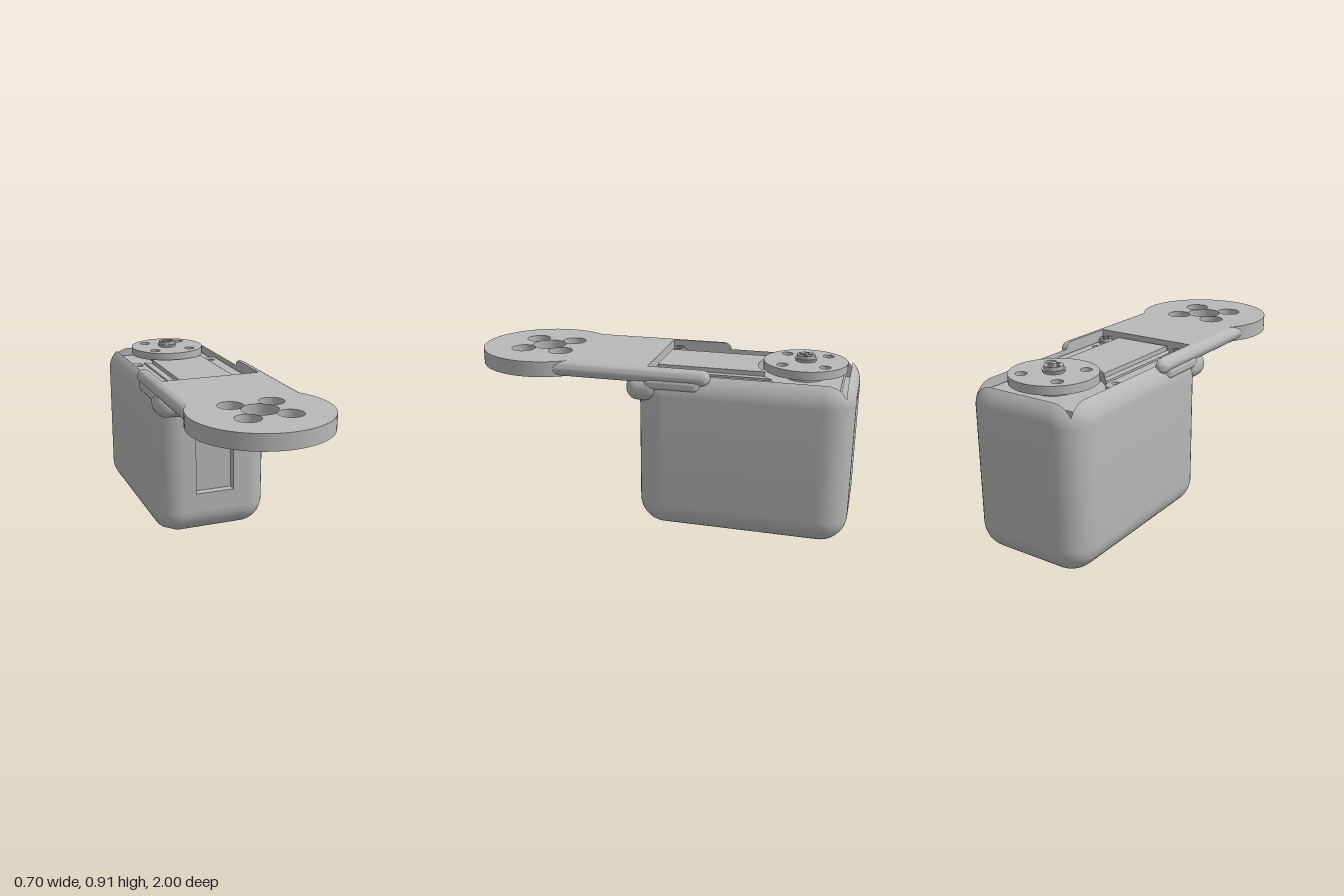
import * as THREE from 'three';
import { toCreasedNormals } from 'three/addons/utils/BufferGeometryUtils.js';
import { RoundedBoxGeometry } from 'three/addons/geometries/RoundedBoxGeometry.js';

const grey = new THREE.MeshStandardMaterial({ color: 0xb8b8b8 });
grey.name = 'grey';

// Case dimensions: rounding radius, top height, flat core and pocket rectangle
const R = 0.14, TOP = 0.87, CX = 0.18, ZF = -0.06, ZB = -0.86;
const POCKET = { x: 0.27, zf: 0.02, zb: -0.955, floor: 0.72 };
const HOLE_R = 0.04;
const HOLES = [[0.222, -0.02], [-0.222, -0.02], [0.222, -0.55], [-0.222, -0.55]];
const clamp = THREE.MathUtils.clamp;

function add(parent, name, geometry, x = 0, y = 0, z = 0) {
  const mesh = new THREE.Mesh(geometry, grey);
  mesh.name = name;
  mesh.position.set(x, y, z);
  parent.add(mesh);
  return mesh;
}

// Height of the rounding above its spring line at plan position x, z
function rise(x, z) {
  const dx = x - clamp(x, -CX, CX), dz = z - clamp(z, ZB, ZF);
  return Math.sqrt(Math.max(0, R * R - dx * dx - dz * dz));
}

// Extrude a plan shape (shape y = -z) upward from y0 to y1
function slab(shape, y0, y1) {
  const g = new THREE.ExtrudeGeometry(shape, { depth: y1 - y0, bevelEnabled: false, curveSegments: 32 });
  g.rotateX(-Math.PI / 2).translate(0, y0, 0);
  return toCreasedNormals(g, 0.5);
}

function circle(x, z, r) {
  return new THREE.Path().absarc(x, -z, r, 0, Math.PI * 2, false);
}

function disc(r) {
  return new THREE.Shape().absarc(0, 0, r, 0, Math.PI * 2, false);
}

// Plan outline of the case: core points with outward normals
function outline() {
  const pts = [];
  const core = [[CX, ZF], [CX, ZB], [-CX, ZB], [-CX, ZF]];
  core.forEach(([x, z], k) => {
    for (let i = 0; i <= 10; i++) {
      const a = (k + i / 10) * Math.PI / 2;
      pts.push({ x, z, nx: Math.sin(a), nz: Math.cos(a) });
    }
    const [x2, z2] = core[(k + 1) % 4], n = k % 2 ? 18 : 40;
    const { nx, nz } = pts[pts.length - 1];
    for (let i = 1; i < n; i++) pts.push({ x: x + (x2 - x) * i / n, z: z + (z2 - z) * i / n, nx, nz });
  });
  return pts;
}

// Rounded case with open pocket on top and holes through the lower rounding
function caseGeometry() {
  const plan = outline(), rings = [], pos = [], steps = 12;
  for (let i = 0; i <= steps; i++) {
    const off = R * Math.sin(i / steps * Math.PI / 2);
    rings.push(plan.map(p => {
      let x = p.x + p.nx * off, z = p.z + p.nz * off;
      for (const [hx, hz] of HOLES) {
        const d = Math.hypot(x - hx, z - hz);
        if (Math.abs(d - HOLE_R) < 0.009) {
          x = hx + (x - hx) * HOLE_R / d;
          z = hz + (z - hz) * HOLE_R / d;
        }
      }
      return [x, R - rise(x, z), z];
    }));
  }
  for (let i = 0; i <= 8; i++) {
    const t = (i / 8) ** 2;
    rings.push(plan.map(p => {
      const x = p.x + p.nx * R, z = p.z + p.nz * R;
      const x2 = x + (clamp(x, -POCKET.x, POCKET.x) - x) * t;
      const z2 = z + (clamp(z, POCKET.zb, POCKET.zf) - z) * t;
      return [x2, TOP - R + rise(x2, z2), z2];
    }));
  }
  rings.push(rings[rings.length - 1].map(([x, , z]) => [x, POCKET.floor, z]));

  const tri = (a, b, c) => {
    const mx = (a[0] + b[0] + c[0]) / 3, my = (a[1] + b[1] + c[1]) / 3, mz = (a[2] + b[2] + c[2]) / 3;
    if (my < R && HOLES.some(([x, z]) => Math.hypot(mx - x, mz - z) < HOLE_R)) return;
    pos.push(...a, ...b, ...c);
  };
  for (let i = 0; i < rings.length - 1; i++) {
    for (let j = 0; j < plan.length; j++) {
      const k = (j + 1) % plan.length;
      // the flat front is left open for the recessed panel
      if (i === steps && plan[j].nz > 0.999 && plan[k].nz > 0.999) continue;
      const a = rings[i][j], b = rings[i][k], c = rings[i + 1][k], d = rings[i + 1][j];
      tri(a, b, d);
      tri(c, d, b);
    }
  }
  const g = new THREE.BufferGeometry();
  g.setAttribute('position', new THREE.Float32BufferAttribute(pos, 3));
  return toCreasedNormals(g, 0.5);
}

// Inner wall of a bottom hole, trimmed to the rounded surface
function holeWall(hx, hz) {
  const g = new THREE.LatheGeometry([[0, 0.2], [HOLE_R, 0.2], [HOLE_R, 0]].map(p => new THREE.Vector2(...p)), 32);
  g.translate(hx, 0, hz);
  const p = g.attributes.position;
  for (let i = 0; i < p.count; i++) if (p.getY(i) < 0.1) p.setY(i, R - rise(p.getX(i), p.getZ(i)));
  return toCreasedNormals(g, 0.5);
}

// Capsule along z, flattened on its inner side
function halfBead(r, z0, z1, side, flat) {
  const g = new THREE.CapsuleGeometry(r, z1 - z0, 8, 24).rotateX(Math.PI / 2);
  const p = g.attributes.position;
  for (let i = 0; i < p.count; i++) if (p.getX(i) * side < -flat) p.setX(i, -flat * side);
  return toCreasedNormals(g, 0.7);
}

// Screw head with a cross-shaped socket
function screw(parent, name, r, h, x, y, z) {
  const s = new THREE.Group();
  s.name = name;
  s.position.set(x, y, z);
  add(s, 'screwBase', new THREE.CylinderGeometry(r, r * 0.9, h * 0.5, 24), 0, h * 0.25, 0);
  const a = r * 0.62, b = r * 0.17, head = disc(r * 0.82);
  head.holes.push(new THREE.Path([[a, b], [b, b], [b, a], [-b, a], [-b, b], [-a, b], [-a, -b], [-b, -b],
    [-b, -a], [b, -a], [b, -b], [a, -b]].map(p => new THREE.Vector2(...p))));
  add(s, 'screwHead', slab(head, h * 0.5, h));
  parent.add(s);
}

// Cover plate whose rear edge is hollowed around the output disc
function coverShape(w, front, xa, ya) {
  const s = new THREE.Shape();
  const a = Math.atan2(ya - 0.73, xa);
  s.moveTo(-w, -front).lineTo(w, -front).lineTo(w, ya).lineTo(xa, ya);
  s.absarc(0, 0.73, 0.235, a, -Math.PI - a, true);
  s.lineTo(-w, ya);
  return s;
}

// Arm plan: round end, straight strip and two prongs beside the pocket
function armShape(boltRadius) {
  const s = new THREE.Shape(), w = 0.28, a = Math.asin(w / 0.35);
  s.moveTo(-w, 0.26).lineTo(-w, -0.65 + 0.35 * Math.cos(a));
  s.absarc(0, -0.65, 0.35, Math.PI / 2 + a, Math.PI * 2.5 - a, false);
  s.lineTo(w, 0.26).lineTo(0.27, 0.26).lineTo(0.27, -0.02).lineTo(-0.27, -0.02).lineTo(-0.27, 0.26);
  s.holes.push(circle(0, 0.65, 0.09));
  for (const x of [-0.105, 0.105]) for (const z of [0.545, 0.755]) s.holes.push(circle(x, z, boltRadius));
  return s;
}

export function createModel() {
  const model = new THREE.Group();
  model.name = 'servoArm';

  // Case
  add(model, 'case', caseGeometry());
  add(model, 'caseBottom', new THREE.PlaneGeometry(2 * CX, ZF - ZB).rotateX(Math.PI / 2), 0, 0, (ZF + ZB) / 2);
  add(model, 'pocketFloor', new THREE.BoxGeometry(0.54, 0.02, 0.975), 0, POCKET.floor, -0.4675);
  HOLES.forEach(([x, z]) => add(model, 'bottomHole', holeWall(x, z)));

  // Recessed front panel
  const frame = new THREE.Shape([[-CX, R], [CX, R], [CX, TOP - R], [-CX, TOP - R]].map(p => new THREE.Vector2(...p)));
  frame.holes.push(new THREE.Path([[-0.107, 0.245], [-0.107, 0.7], [0.107, 0.7], [0.107, 0.245]].map(p => new THREE.Vector2(...p))));
  add(model, 'frontFrame', new THREE.ExtrudeGeometry(frame, { depth: 0.045, bevelEnabled: false }), 0, 0, 0.035);
  add(model, 'frontRecess', new THREE.BoxGeometry(0.22, 0.47, 0.01), 0, 0.4725, 0.03);

  // Motor unit in the pocket
  add(model, 'motorBlock', new THREE.BoxGeometry(0.52, 0.2, 0.92), 0, 0.695, -0.46);
  const flange = coverShape(0.26, 0.01, 0.2077, 0.62);
  for (const x of [-0.22, 0.22]) for (const z of [-0.115, -0.555]) flange.holes.push(circle(x, z, 0.018));
  add(model, 'flange', slab(flange, 0.79, 0.815));
  add(model, 'coverStep', slab(coverShape(0.185, 0, 0.185, 0.585), 0.815, 0.825));
  add(model, 'cover', slab(coverShape(0.15, 0, 0.15, 0.549), 0.825, 0.848));
  for (const x of [-0.22, 0.22]) screw(model, 'flangeScrew', 0.04, 0.03, x, 0.813, -0.025);

  // Output disc
  add(model, 'hub', new THREE.CylinderGeometry(0.1, 0.1, 0.06, 32), 0, 0.82, -0.73);
  const horn = disc(0.21);
  for (const x of [-0.105, 0.105]) for (const z of [-0.105, 0.105]) horn.holes.push(circle(x, z, 0.028));
  add(model, 'outputDisc', slab(horn, 0.838, 0.88), 0, 0, -0.73);
  screw(model, 'centreScrew', 0.056, 0.034, 0, 0.878, -0.73);

  // Arm with counterbored bolt holes
  add(model, 'armLower', slab(armShape(0.037), 0.79, 0.825));
  add(model, 'armUpper', slab(armShape(0.063), 0.825, 0.87));
  for (const s of [-1, 1]) {
    add(model, 'armEdge', halfBead(0.04, -0.26, 0.5, s, 0.01), 0.28 * s, 0.83, 0.12);
    add(model, 'sideBead', halfBead(0.036, -0.22, 0.0, s, 0.015), 0.287 * s, 0.79, -0.11);
  }
  add(model, 'frontBead', new RoundedBoxGeometry(0.644, 0.13, 0.18, 5, 0.06), 0, 0.757, 0.04);

  return model;
}
